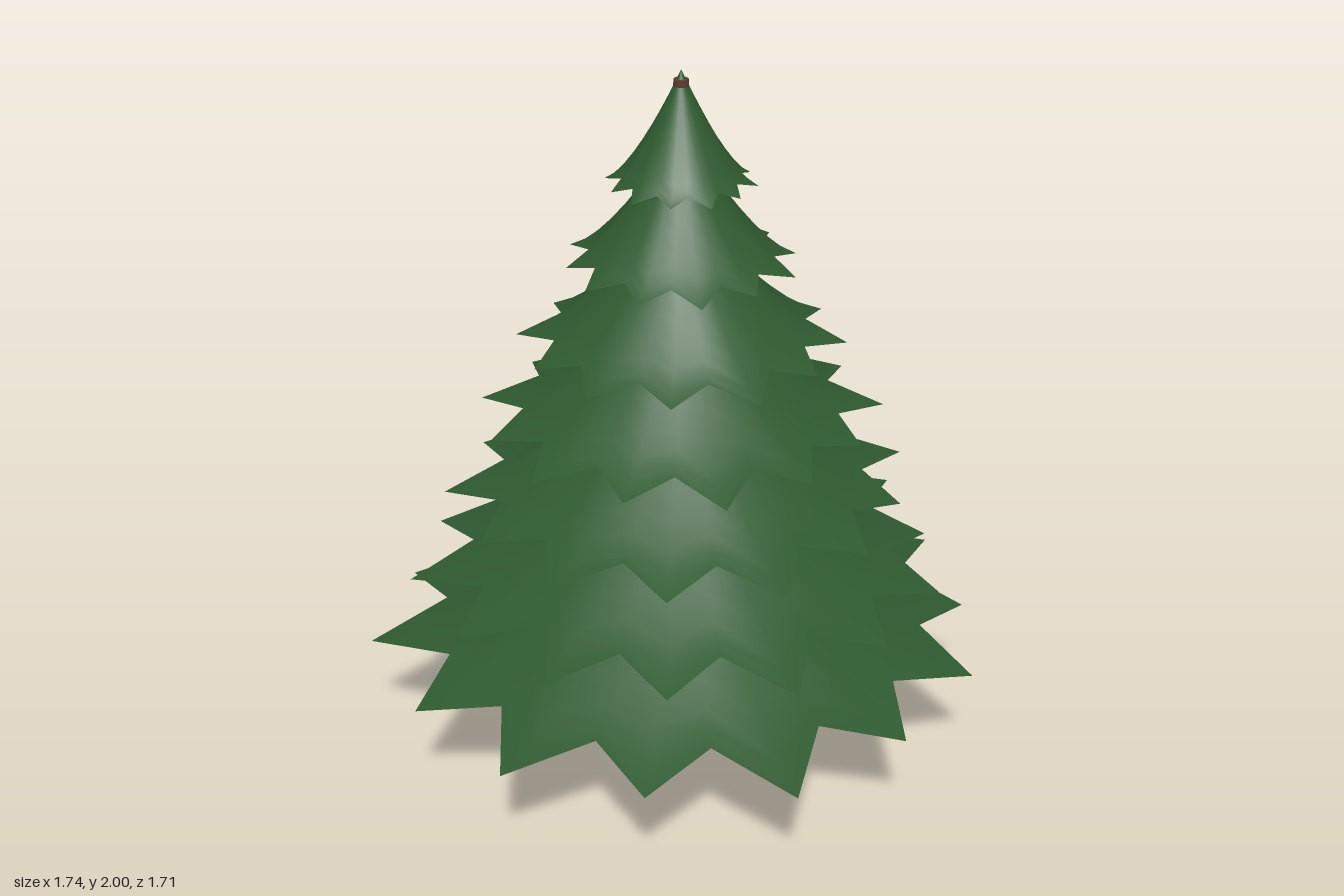
import * as THREE from 'three';

// Length of each branch tip relative to its tier radius
const TIP_SPREAD = [0.98, 1.045, 0.99, 1.03, 0.99, 1.03, 0.98, 0.99, 1.025, 1, 1, 1.03, 0.96, 0.995];

// Tiers from bottom to top
const TIERS = [
  { y: 0.325, radius: 0.868, height: 0.48, tips: 14, turn: 0 },
  { y: 0.55, radius: 0.75, height: 0.46, tips: 14, turn: -0.06 },
  { y: 0.78, radius: 0.645, height: 0.44, tips: 13, turn: -0.12 },
  { y: 1.01, radius: 0.55, height: 0.43, tips: 13, turn: 0.1 },
  { y: 1.235, radius: 0.44, height: 0.41, tips: 12, turn: -0.2 },
  { y: 1.465, radius: 0.315, height: 0.38, tips: 12, turn: 0.1 },
  { y: 1.69, radius: 0.2, height: 0.31, tips: 12, turn: -0.12 },
];

// Open flaring skirt whose rim alternates between pointed tips and raised notches
function skirtGeometry({ y, radius, height, tips, turn }) {
  const rings = 8;
  const sides = tips * 2;
  const positions = [];
  const indices = [];
  for (let j = 0; j <= rings; j++) {
    const t = j / rings;
    const star = t * t; // the star shape grows towards the rim
    for (let i = 0; i < sides; i++) {
      const isTip = i % 2 === 0;
      const angle = Math.PI / 2 + turn + (i / sides) * Math.PI * 2;
      const reach = isTip ? TIP_SPREAD[(i / 2) % TIP_SPREAD.length] : 0.795;
      const r = radius * t * (1 + (reach - 1) * star);
      const lift = isTip ? 0 : 0.04 * Math.sqrt(radius) * star;
      positions.push(
        Math.cos(angle) * r,
        y + height * Math.pow(1 - t, 1.4) + lift,
        Math.sin(angle) * r
      );
      if (j < rings) {
        const next = (i + 1) % sides;
        const a = j * sides + i;
        const b = j * sides + next;
        const c = a + sides;
        const d = b + sides;
        if (j > 0) indices.push(a, b, c);
        indices.push(b, d, c);
      }
    }
  }
  const geometry = new THREE.BufferGeometry();
  geometry.setAttribute('position', new THREE.Float32BufferAttribute(positions, 3));
  geometry.setIndex(indices);
  geometry.computeVertexNormals();
  return geometry;
}

export function createModel() {
  const tree = new THREE.Group();
  tree.name = 'pineTree';

  const needles = new THREE.MeshStandardMaterial({ color: 0x2e5a30, side: THREE.DoubleSide });
  needles.name = 'needleGreen';
  const bark = new THREE.MeshStandardMaterial({ color: 0x5a3a30 });
  bark.name = 'barkBrown';

  // Tapered trunk running to just below the tip
  const trunk = new THREE.Mesh(new THREE.CylinderGeometry(0.02, 0.09, 1.975, 16), bark);
  trunk.name = 'trunk';
  trunk.position.y = 1.975 / 2;
  tree.add(trunk);

  // Foliage skirts
  TIERS.forEach((tier, i) => {
    const skirt = new THREE.Mesh(skirtGeometry(tier), needles);
    skirt.name = `foliageTier${i + 1}`;
    tree.add(skirt);
  });

  return tree;
}
